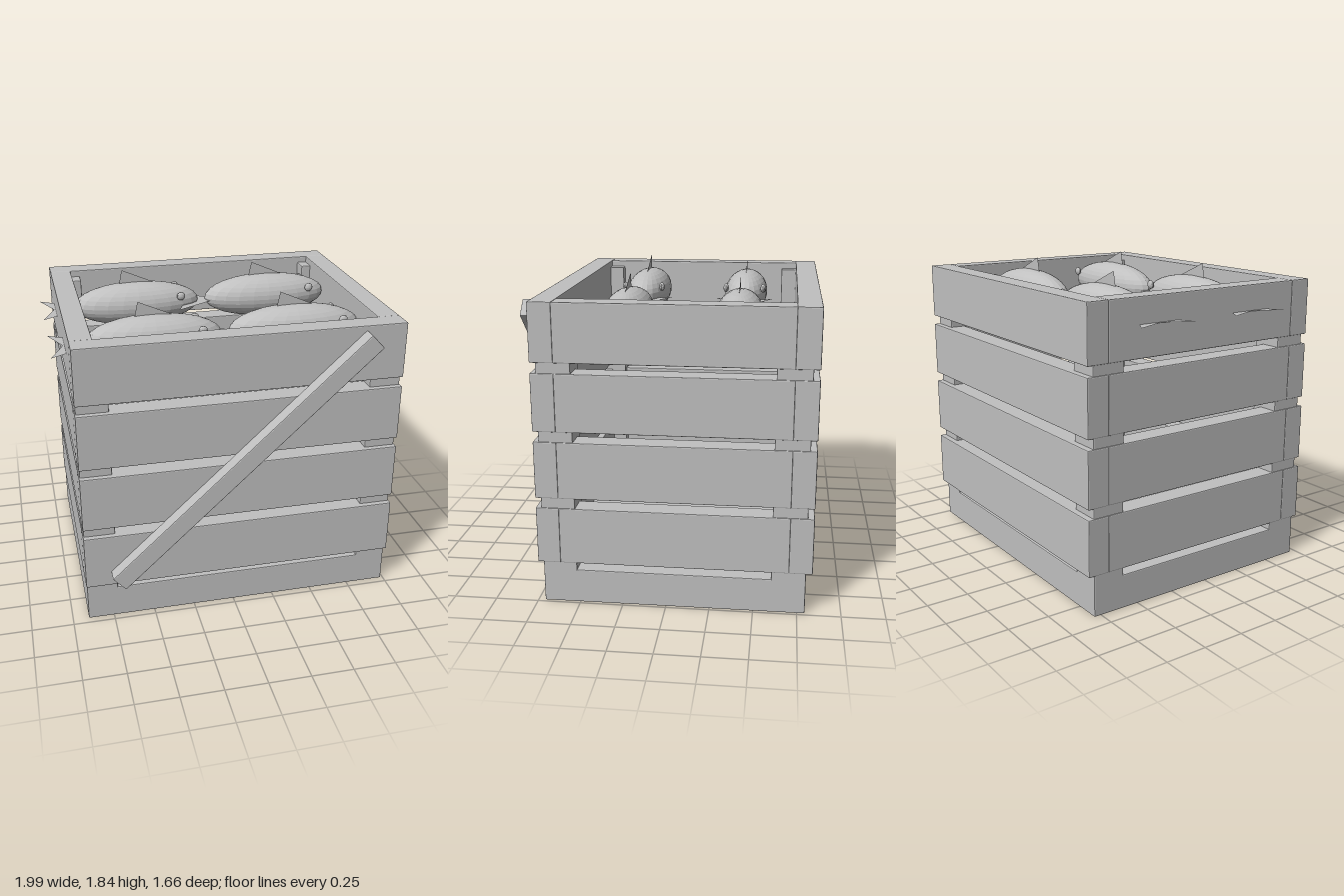
import * as THREE from 'three';
import { RoundedBoxGeometry } from 'three/addons/geometries/RoundedBoxGeometry.js';

const grey = new THREE.MeshStandardMaterial({ color: 0xc0c0c0 });
grey.name = 'grey';
grey.flatShading = true;
const greySheet = new THREE.MeshStandardMaterial({ color: 0xc0c0c0 });
greySheet.name = 'grey sheet';
greySheet.side = THREE.DoubleSide;

// Board with softened edges, given by its limits on each axis
function board(name, [x0, x1], [y0, y1], [z0, z1]) {
  const geo = new RoundedBoxGeometry(x1 - x0, y1 - y0, z1 - z0, 1, 0.006);
  const mesh = new THREE.Mesh(geo, grey);
  mesh.position.set((x0 + x1) / 2, (y0 + y1) / 2, (z0 + z1) / 2);
  mesh.name = name;
  return mesh;
}

// Flat sheet cut from a list of corners
function sheet(name, corners) {
  const shape = new THREE.Shape(corners.map(([x, y]) => new THREE.Vector2(x, y)));
  const mesh = new THREE.Mesh(new THREE.ShapeGeometry(shape), greySheet);
  mesh.name = name;
  return mesh;
}

// Fish with its nose towards +x
function createFish() {
  const fish = new THREE.Group();
  fish.name = 'fish';

  const body = new THREE.Mesh(new THREE.SphereGeometry(1, 24, 16), grey);
  body.scale.set(0.405, 0.138, 0.138);
  body.name = 'fishBody';
  fish.add(body);

  const tail = sheet('tailFin', [[-0.61, -0.185], [-0.3, 0], [-0.61, 0.185], [-0.53, 0]]);
  tail.rotation.x = -Math.PI / 2;
  tail.position.y = -0.01;
  fish.add(tail);

  fish.add(sheet('dorsalFin', [[-0.12, 0.08], [0.23, 0.08], [-0.09, 0.22]]));

  for (const side of [-1, 1]) {
    const eye = new THREE.Mesh(new THREE.SphereGeometry(0.027, 12, 8), grey);
    eye.scale.z = 0.63;
    eye.position.set(0.27, 0.06, side * 0.118);
    eye.name = 'fishEye';
    fish.add(eye);
  }
  return fish;
}

export function createModel() {
  const model = new THREE.Group();
  model.name = 'fishCrate';

  // Solid base
  model.add(board('base', [-0.905, 0.985], [0, 0.203], [-0.795, 0.71]));

  // Corner posts
  for (const x of [[-0.905, -0.72], [0.8, 0.985]]) {
    for (const z of [[-0.795, -0.6], [0.515, 0.71]]) {
      model.add(board('cornerPost', x, [0.19, 1.72], z));
    }
  }

  // Four rows of slats on each side
  for (let row = 0; row < 4; row++) {
    const y0 = 0.246 + row * 0.393;
    const y = [y0, y0 + 0.335];
    model.add(
      board('frontSlat', [-0.91, 0.99], y, [0.608, 0.742]),
      board('backSlat', [-0.91, 0.99], y, [-0.832, -0.698]),
      board('rightSlat', [-0.91, -0.78], y, [-0.7, 0.61]),
      board('leftSlat', [0.86, 0.99], y, [-0.7, 0.61])
    );
  }

  // Diagonal brace across the front
  const brace = board('diagonalBrace', [-1.025, 1.025], [-0.056, 0.056], [0.742, 0.83]);
  brace.position.x = 0.03;
  brace.position.y = 0.997;
  brace.rotation.z = 0.747;
  model.add(brace);

  // Two rows of fish
  for (const x of [-0.39, 0.465]) {
    for (const z of [-0.372, 0.278]) {
      const fish = createFish();
      fish.position.set(x, 1.62, z);
      model.add(fish);
    }
  }
  return model;
}
